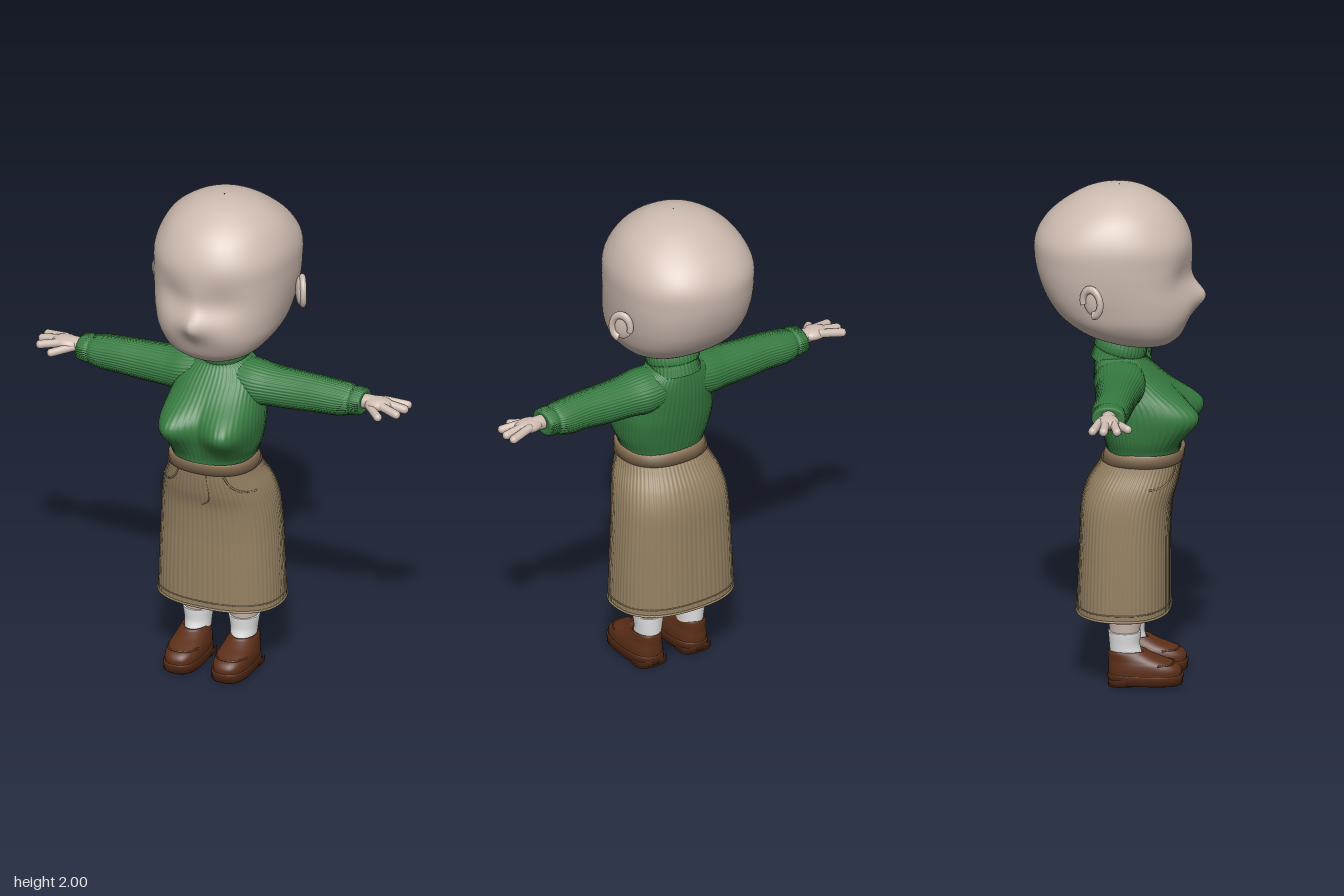
import * as THREE from 'three';
import { ParametricGeometry } from 'three/addons/geometries/ParametricGeometry.js';

const material = (name, color, side = THREE.FrontSide) => {
  const m = new THREE.MeshStandardMaterial({ color, side });
  m.name = name;
  return m;
};

// Smooth (or linear) interpolation through rows of numbers
function sample(keys, v, linear) {
  const t = v * (keys.length - 1);
  const i = Math.min(Math.floor(t), keys.length - 2);
  const f = t - i;
  const a = keys[Math.max(i - 1, 0)], b = keys[i], c = keys[i + 1], d = keys[Math.min(i + 2, keys.length - 1)];
  return b.map((bk, k) => {
    if (linear) return bk + (c[k] - bk) * f;
    const m0 = (c[k] - a[k]) / 2, m1 = (d[k] - bk) / 2, f2 = f * f, f3 = f2 * f;
    return (2 * f3 - 3 * f2 + 1) * bk + (f3 - 2 * f2 + f) * m0 + (3 * f2 - 2 * f3) * c[k] + (f3 - f2) * m1;
  });
}

// Surface through cross-sections [height, halfWidth, zFront, zBack, zWidest, squareness, xCentre]
function surface(keys, { linear = false, ribs = 0, depth = 0.0012, shape = null } = {}) {
  const rows = keys.map(([y, w, zf, zb, zc = (zf + zb) / 2, n = 2, xc = 0]) => [y, w, zf, zb, zc, n, xc]);
  return (u, v, p) => {
    const [y, w, zf, zb, zc, n, xc] = sample(rows, v, linear);
    const a = u * Math.PI * 2, c = Math.cos(a), s = -Math.sin(a);
    const r = Math.pow(Math.abs(c) ** n + Math.abs(s) ** n, -1 / n);
    const rib = ribs ? depth * Math.cos(a * ribs) : 0;
    p.set(xc + c * (w * r + rib), y, zc + s * ((s > 0 ? zf - zc : zc - zb) * r + rib));
    if (shape && s > 0) shape(p, s);
  };
}
const loft = (keys, slices, stacks, opts) => new ParametricGeometry(surface(keys, opts), slices, stacks);

// Point on a lofted surface at a given turn and height
function pointAt(f, u, y) {
  const p = new THREE.Vector3();
  let lo = 0, hi = 1;
  for (let i = 0; i < 30; i++) {
    const mid = (lo + hi) / 2;
    f(u, mid, p);
    if (p.y < y) lo = mid; else hi = mid;
  }
  return p;
}
const seam = (f, pts, r, closed = false) => new THREE.TubeGeometry(
  new THREE.CatmullRomCurve3(pts.map(([u, y]) => pointAt(f, u, y)), closed), closed ? 80 : 20, r, 6, closed);

function mirrored(geometry) {
  const g = geometry.clone().scale(-1, 1, 1);
  const ix = g.index.array;
  for (let i = 0; i < ix.length; i += 3) [ix[i], ix[i + 1]] = [ix[i + 1], ix[i]];
  return g;
}

// Rounded limb between two points
function limb(from, to, r) {
  const a = new THREE.Vector3(...from), b = new THREE.Vector3(...to), d = b.clone().sub(a);
  const q = new THREE.Quaternion().setFromUnitVectors(new THREE.Vector3(0, 1, 0), d.clone().normalize());
  const mid = a.add(b).multiplyScalar(0.5);
  return new THREE.CapsuleGeometry(r, d.length(), 6, 14).applyQuaternion(q).translate(mid.x, mid.y, mid.z);
}

export function createModel() {
  const model = new THREE.Group();
  const skin = material('skin', 0xcdbbb0);
  const green = material('greenKnit', 0x367a40, THREE.DoubleSide);
  const tan = material('tanCord', 0x958162, THREE.DoubleSide);
  const band = material('waistbandTan', 0x977d5f, THREE.DoubleSide);
  const white = material('sockWhite', 0xe8e8e8);
  const brown = material('shoeBrown', 0x5c2f18);

  const add = (name, geometry, mat) => {
    const m = new THREE.Mesh(geometry, mat);
    m.name = name;
    model.add(m);
  };
  const pair = (name, geometry, mat) => {
    add('left' + name, geometry, mat);
    add('right' + name, mirrored(geometry), mat);
  };
  const bump = (d, s) => Math.exp(-(d * d) / (2 * s * s));

  // Head with pointed nose, cheeks and shallow eye hollows
  add('head', loft([
    [1.355, 0.004, 0.114, 0.106, 0.11, 2],
    [1.364, 0.09, 0.19, 0.02, 0.1, 2.2],
    [1.385, 0.15, 0.225, -0.06, 0.08, 2.3],
    [1.42, 0.197, 0.253, -0.145, 0.05, 2.4],
    [1.48, 0.238, 0.272, -0.225, 0.01, 2.4],
    [1.55, 0.258, 0.28, -0.277, -0.02, 2.4],
    [1.63, 0.272, 0.283, -0.312, -0.04, 2.3],
    [1.71, 0.279, 0.288, -0.33, -0.05, 2.2],
    [1.79, 0.277, 0.28, -0.328, -0.05, 2.2],
    [1.86, 0.252, 0.25, -0.29, -0.04, 2.1],
    [1.92, 0.207, 0.2, -0.226, -0.02, 2],
    [1.97, 0.135, 0.125, -0.145, -0.01, 2],
    [1.993, 0.065, 0.06, -0.07, 0, 2],
    [2.0, 0.002, 0.002, -0.002, 0, 2],
  ], 96, 72, {
    shape: (p, s) => {
      const ax = Math.sqrt(p.x * p.x + 0.0002);
      const nose = 0.075 * Math.exp(-ax / 0.055) * bump(p.y - 1.557, 0.042);
      const socket = -0.018 * bump(ax - 0.11, 0.055) * bump(p.y - 1.66, 0.05);
      const cheek = 0.012 * bump(ax - 0.12, 0.06) * bump(p.y - 1.5, 0.05);
      p.z += (nose + socket + cheek) * Math.min(1, s * 2);
    },
  }), skin);

  // Ears: a thin bowl with a raised rim
  const place = (g) => g.rotateX(-0.15).rotateY(0.5).translate(0.286, 1.602, -0.075);
  pair('Ear', place(new THREE.SphereGeometry(1, 24, 16).scale(0.016, 0.058, 0.044)), skin);
  pair('EarRim', place(new THREE.TorusGeometry(0.04, 0.013, 10, 28, Math.PI * 1.55)
    .rotateZ(-1.6).rotateY(-Math.PI / 2).scale(1, 1.3, 1).translate(0.012, 0, 0)), skin);

  // Neck and folded collar, higher at the back
  add('neck', new THREE.CylinderGeometry(0.075, 0.08, 0.16, 28).translate(0, 1.34, 0), skin);
  add('collar', loft([
    [-0.06, 0.108, 0.108, -0.1], [-0.03, 0.1, 0.1, -0.098], [-0.012, 0.098, 0.098, -0.096],
    [-0.008, 0.105, 0.105, -0.102], [0.015, 0.106, 0.105, -0.102], [0.045, 0.098, 0.097, -0.096],
    [0.052, 0.09, 0.09, -0.088], [0.02, 0.084, 0.084, -0.082],
  ], 160, 28, { ribs: 40 }).rotateX(0.26).translate(0, 1.338, 0.002), green);

  // Sweater body with full chest
  add('sweaterBody', loft([
    [0.915, 0.162, 0.238, -0.04, 0.08, 2.3],
    [0.95, 0.17, 0.24, -0.05, 0.08, 2.3],
    [1.0, 0.186, 0.25, -0.062, 0.08, 2.4],
    [1.08, 0.194, 0.262, -0.08, 0.07, 2.5],
    [1.14, 0.19, 0.245, -0.09, 0.06, 2.4],
    [1.2, 0.178, 0.196, -0.097, 0.03, 2.3],
    [1.25, 0.168, 0.145, -0.098, 0.01, 2.2],
    [1.29, 0.14, 0.108, -0.096, 0, 2],
    [1.315, 0.1, 0.095, -0.09, 0, 2],
    [1.33, 0.07, 0.07, -0.07, 0, 2],
  ], 240, 48, {
    ribs: 60, depth: 0.0008,
    shape: (p, s) => {
      const lobe = bump(Math.abs(p.x) - 0.11, 0.06) * bump(p.y - 1.085, 0.058) * Math.min(1, s * 1.6);
      p.z += 0.075 * lobe;
      p.x += Math.sign(p.x) * 0.014 * lobe;
    },
  }), green);

  // Sleeves, lofted upright then laid out sideways
  const sleeveKeys = [
    [0.04, 1.17, 1.31, -0.085, 0.1], [0.14, 1.14, 1.308, -0.086, 0.115], [0.22, 1.142, 1.298, -0.072, 0.105],
    [0.32, 1.143, 1.295, -0.064, 0.095], [0.42, 1.15, 1.292, -0.058, 0.09], [0.5, 1.153, 1.286, -0.06, 0.086],
    [0.54, 1.163, 1.28, -0.058, 0.083], [0.555, 1.168, 1.276, -0.05, 0.078], [0.57, 1.17, 1.277, -0.054, 0.081],
    [0.598, 1.176, 1.271, -0.052, 0.079], [0.604, 1.185, 1.262, -0.04, 0.068], [0.598, 1.21, 1.24, 0, 0.035],
  ].map(([a, lo, hi, zb, zf]) => [a, (hi - lo) / 2, zf, zb, (zf + zb) / 2, 2.2, -(hi + lo) / 2]);
  pair('Sleeve', loft(sleeveKeys, 160, 44, { ribs: 40, depth: 0.001 }).rotateZ(Math.PI / 2).scale(1, 1, 1)
    .applyMatrix4(new THREE.Matrix4().makeRotationZ(Math.PI)), green);

  // Hands: wrist, palm, three fingers and thumb
  pair('Wrist', limb([0.58, 1.228, 0.015], [0.64, 1.228, 0.015], 0.03), skin);
  pair('Palm', new THREE.SphereGeometry(1, 24, 16).scale(0.06, 0.027, 0.045).translate(0.665, 1.23, 0.017), skin);
  [
    [[0.68, 1.235, -0.012], [0.766, 1.222, -0.033], 0.017],
    [[0.69, 1.235, 0.012], [0.77, 1.222, 0.01], 0.0175],
    [[0.68, 1.233, 0.04], [0.758, 1.22, 0.062], 0.017],
    [[0.63, 1.222, 0.035], [0.696, 1.212, 0.098], 0.0165],
  ].forEach(([a, b, r], i) => pair(['LittleFinger', 'MiddleFinger', 'IndexFinger', 'Thumb'][i], limb(a, b, r), skin));

  // Ribbed skirt, open below
  const skirtKeys = [
    [0.287, 0.254, 0.2, -0.165, 0.02, 2.4],
    [0.4, 0.251, 0.2, -0.161, 0.02, 2.4],
    [0.5, 0.247, 0.2, -0.157, 0.02, 2.4],
    [0.6, 0.242, 0.2, -0.153, 0.02, 2.4],
    [0.72, 0.232, 0.208, -0.147, 0.03, 2.4],
    [0.8, 0.216, 0.23, -0.125, 0.05, 2.3],
    [0.87, 0.187, 0.243, -0.083, 0.08, 2.3],
    [0.94, 0.168, 0.248, -0.04, 0.1, 2.3],
  ];
  const skirtSurface = surface(skirtKeys);
  add('skirt', loft(skirtKeys, 288, 36, { ribs: 72, depth: 0.001 }), tan);
  const ring = (y) => Array.from({ length: 40 }, (_, i) => [i / 40, y]);
  add('hemEdge', seam(skirtSurface, ring(0.289), 0.005, true), tan);
  add('hemSeam', seam(skirtSurface, ring(0.315), 0.003, true), tan);
  add('waistband', loft([
    [0.893, 0.178, 0.248, -0.066, 0.09, 2.3], [0.897, 0.183, 0.253, -0.071, 0.09, 2.3],
    [0.938, 0.175, 0.257, -0.05, 0.1, 2.3], [0.944, 0.171, 0.254, -0.046, 0.1, 2.3],
    [0.936, 0.16, 0.24, -0.035, 0.1, 2.3],
  ], 96, 4, { linear: true }), band);

  // Skirt pockets and fly seam
  pair('PocketEdge', seam(skirtSurface, [[0.835, 0.89], [0.85, 0.845], [0.88, 0.818], [0.93, 0.812]], 0.004), tan);
  add('flySeam', seam(skirtSurface, [[0.775, 0.89], [0.775, 0.8], [0.768, 0.765], [0.75, 0.745]], 0.0025), tan);

  // Legs and socks
  const cx = 0.0975;
  pair('Leg', loft([
    [0.16, 0.05, 0.08, -0.025], [0.22, 0.056, 0.09, -0.03], [0.32, 0.064, 0.1, -0.036],
    [0.45, 0.066, 0.105, -0.04], [0.65, 0.082, 0.13, -0.05], [0.85, 0.088, 0.15, -0.045],
  ], 32, 24).translate(cx, 0, 0), skin);
  pair('Sock', loft([
    [0.07, 0.052, 0.1, -0.025], [0.12, 0.051, 0.098, -0.027], [0.16, 0.054, 0.09, -0.03],
    [0.205, 0.061, 0.094, -0.034], [0.214, 0.06, 0.093, -0.034], [0.214, 0.05, 0.08, -0.025],
  ], 32, 24).translate(cx, 0, 0), white);

  // Loafers: sole, heel, upper, strap and toe seam
  const sx = 0.1025;
  pair('Sole', loft([
    [0.006, 0.002, 0.12, 0.1, 0.11, 2.8], [0.006, 0.069, 0.25, -0.03, 0.12, 2.8], [0.01, 0.072, 0.257, -0.034, 0.12, 2.8],
    [0.042, 0.073, 0.26, -0.036, 0.12, 2.8], [0.045, 0.07, 0.256, -0.033, 0.12, 2.8], [0.045, 0.002, 0.12, 0.1, 0.11, 2.8],
  ], 48, 5, { linear: true }).translate(sx, 0, 0), brown);
  pair('Heel', loft([
    [0, 0.002, 0.03, 0.02, 0.025, 3], [0, 0.068, 0.075, -0.033, 0.02, 3],
    [0.03, 0.07, 0.078, -0.034, 0.02, 3],
  ], 40, 2, { linear: true }).translate(sx, 0, 0), brown);
  const upperKeys = [
    [0.04, 0.069, 0.253, -0.032, 0.12, 2.6], [0.065, 0.07, 0.252, -0.033, 0.12, 2.6],
    [0.085, 0.068, 0.235, -0.033, 0.11, 2.5], [0.1, 0.064, 0.2, -0.034, 0.09, 2.4],
    [0.115, 0.06, 0.16, -0.035, 0.06, 2.3], [0.13, 0.056, 0.128, -0.035, 0.04, 2.2],
    [0.138, 0.052, 0.115, -0.032, 0.04, 2.1], [0.132, 0.046, 0.1, -0.025, 0.035, 2],
  ];
  pair('ShoeUpper', loft(upperKeys, 48, 35).translate(sx, 0, 0), brown);
  pair('ShoeStrap', new THREE.TorusGeometry(0.061, 0.008, 8, 28, Math.PI)
    .scale(1, 1.1, 2).rotateX(-0.2).translate(sx, 0.052, 0.14), brown);
  pair('ToeSeam', seam(surface(upperKeys),
    [[0.57, 0.088], [0.66, 0.09], [0.75, 0.091], [0.84, 0.09], [0.93, 0.088]], 0.004).translate(sx, 0, 0), brown);

  return model;
}
